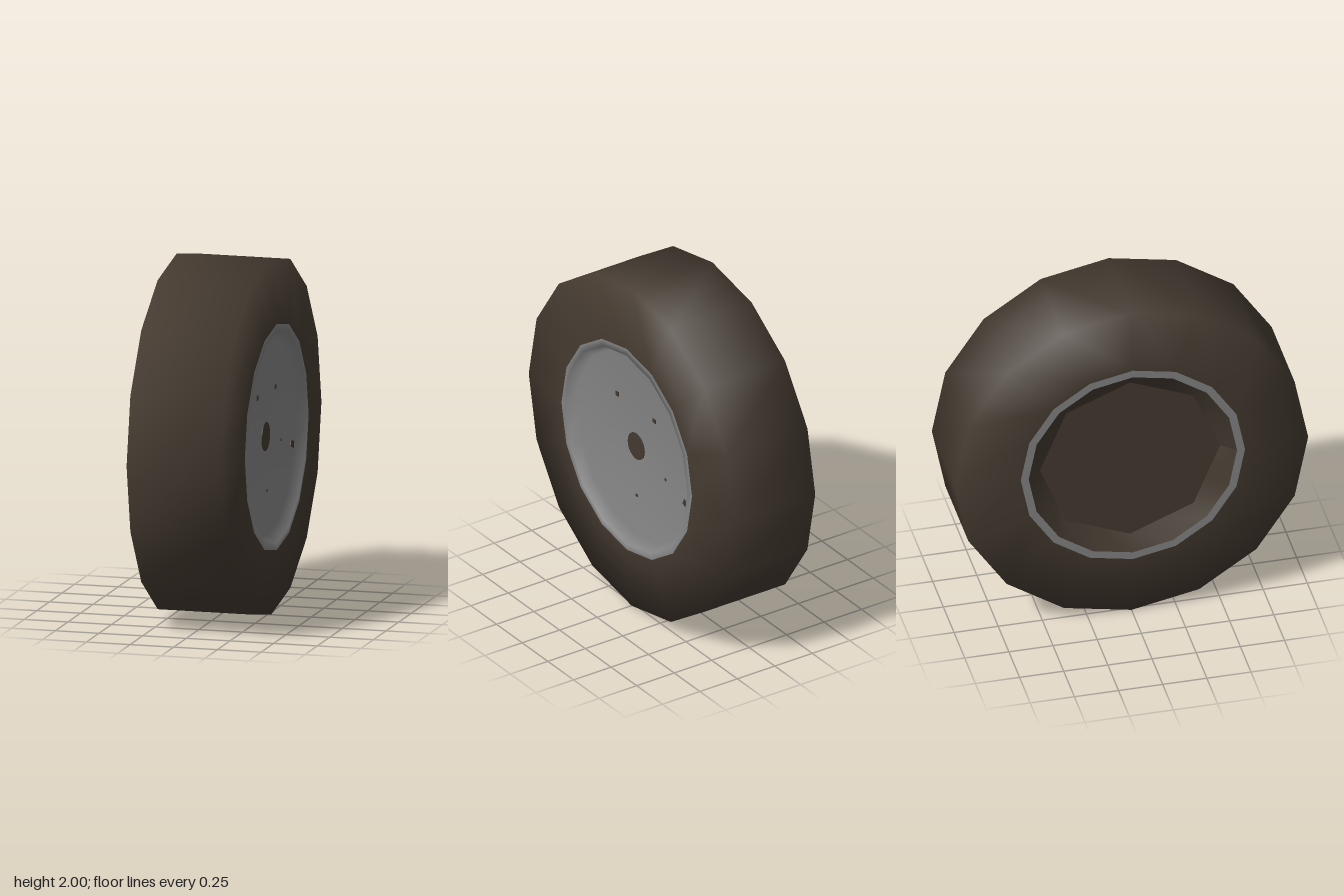
import * as THREE from 'three';

const SIDES = 16;

export function createModel() {
  const rubber = new THREE.MeshStandardMaterial({ color: 0x443a30 });
  rubber.name = 'brown rubber';
  const metal = new THREE.MeshStandardMaterial({ color: 0x858585 });
  metal.name = 'grey metal';

  const root = new THREE.Group();
  root.name = 'wheel';
  // everything turned lies along y, then the axle is laid along x
  const axle = new THREE.Group();
  axle.name = 'axle';
  axle.rotation.z = -Math.PI / 2;
  axle.position.y = 1;
  root.add(axle);

  const add = (parent, name, geometry, material) => {
    const mesh = new THREE.Mesh(geometry, material);
    mesh.name = name;
    parent.add(mesh);
    return mesh;
  };
  // profile points are [radius, position along the axle]
  const turn = (points) =>
    new THREE.LatheGeometry(points.map(([r, a]) => new THREE.Vector2(r, a)), SIDES);

  // tyre: tread and both sidewalls
  add(axle, 'tyre', turn([
    [0.635, -0.302], [1, -0.27], [1, 0.27], [0.635, 0.302],
  ]), rubber);

  // outer face: lip and shallow dish
  add(axle, 'rimDish', turn([
    [0.635, 0.302], [0.595, 0.305], [0.56, 0.245], [0, 0.235],
  ]), metal);

  // inner face: lip, and a recess narrowing to an octagon
  add(axle, 'backLip', turn([[0.59, -0.302], [0.635, -0.302]]), metal);
  const octagon = (geometry) => {
    const p = geometry.attributes.position;
    for (let i = 0; i < p.count; i++) {
      const r = Math.hypot(p.getX(i), p.getZ(i));
      const step = Math.round(Math.atan2(p.getX(i), p.getZ(i)) / (Math.PI / 8));
      if (r < 0.52 && step % 2 !== 0) {
        const k = Math.cos(Math.PI / 8);
        p.setX(i, p.getX(i) * k);
        p.setZ(i, p.getZ(i) * k);
      }
    }
    geometry.computeVertexNormals();
    return geometry;
  };
  add(axle, 'backRecessWall', octagon(turn([[0.51, -0.235], [0.59, -0.302]])), rubber);
  add(axle, 'backPlate', octagon(turn([[0, -0.235], [0.51, -0.235]])), rubber);

  // hub cap and painted marks on the dish
  const dishX = (r) => 0.235 + 0.01 * r / 0.56;
  const hub = add(root, 'hubSpot', new THREE.CylinderGeometry(0.08, 0.08, 0.008, 24), rubber);
  hub.rotation.z = -Math.PI / 2;
  hub.position.set(0.237, 1, 0);

  const marks = [ // z, y, width, height, tilt
    [0.18, 1.25, 0.028, 0.028, 0],
    [-0.18, 1.245, 0.03, 0.024, 0],
    [-0.29, 0.925, 0.014, 0.014, 0],
    [-0.01, 0.695, 0.02, 0.014, 0],
    [-0.505, 0.86, 0.075, 0.035, 0.4],
  ];
  marks.forEach(([z, y, w, h, tilt], i) => {
    const mark = add(root, `dishMark${i + 1}`, new THREE.BoxGeometry(0.008, h, w), rubber);
    mark.position.set(dishX(Math.hypot(z, y - 1)), y, z);
    mark.rotation.x = -tilt;
  });

  return root;
}
